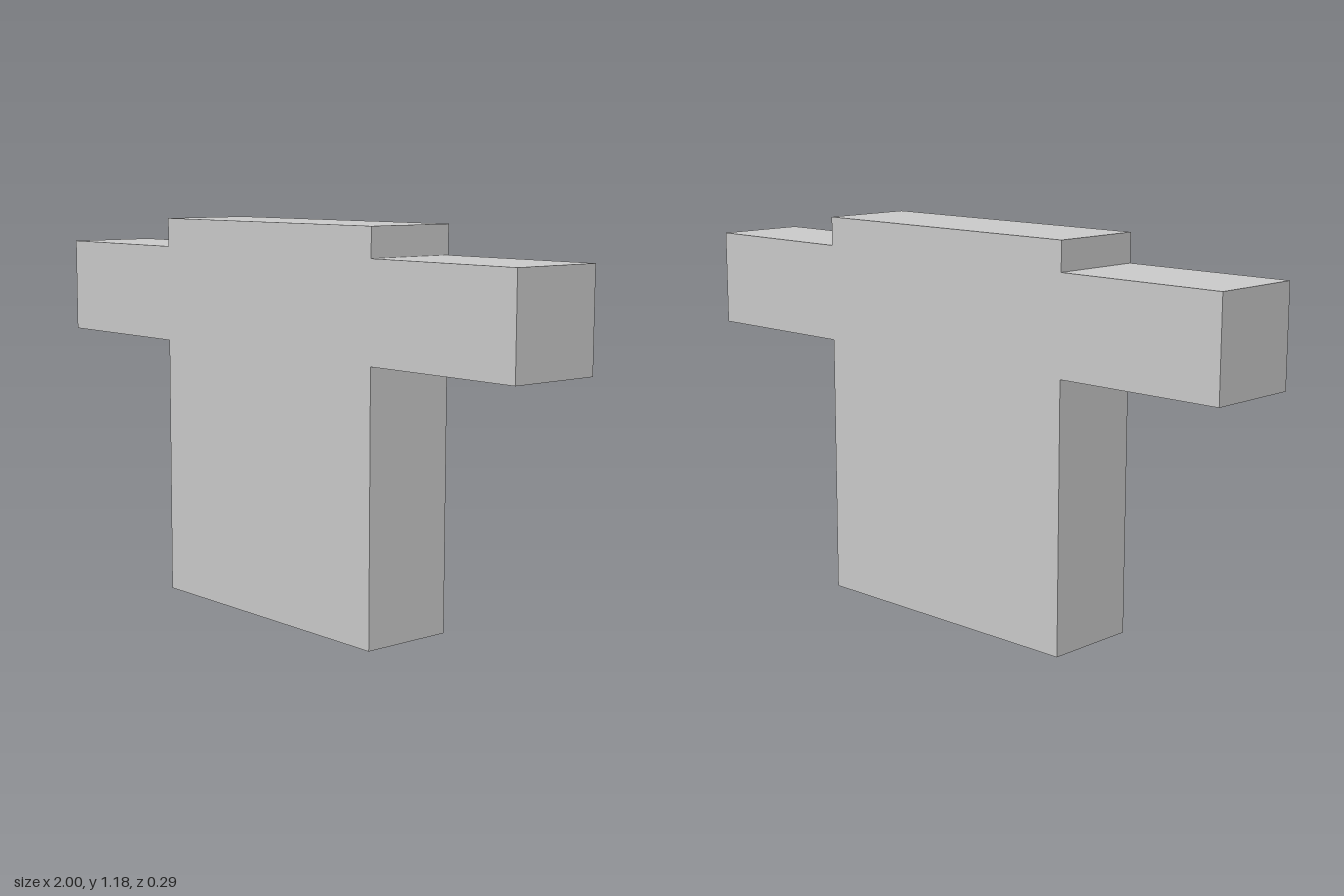
import * as THREE from 'three';

const DEPTH = 0.292;

export function createModel() {
  const group = new THREE.Group();
  const material = new THREE.MeshStandardMaterial({ color: 0xcccccc, flatShading: true });

  // Right half of the T-shaped outline, bottom to top: body side, arm, shoulder step
  const half = [[0.468, 0], [0.468, 0.797], [1, 0.797], [1, 1.09], [0.468, 1.09], [0.468, 1.177]];
  const mirrored = half.map(([x, y]) => [-x, y]).reverse();
  const outline = [...half, ...mirrored].map(([x, y]) => new THREE.Vector2(x, y));

  // Body and both arms as one flat slab, centred in depth
  const geometry = new THREE.ExtrudeGeometry(new THREE.Shape(outline), { depth: DEPTH, bevelEnabled: false });
  geometry.translate(0, 0, -DEPTH / 2);

  const slab = new THREE.Mesh(geometry, material);
  slab.name = 'bodyWithArms';
  group.add(slab);
  return group;
}
